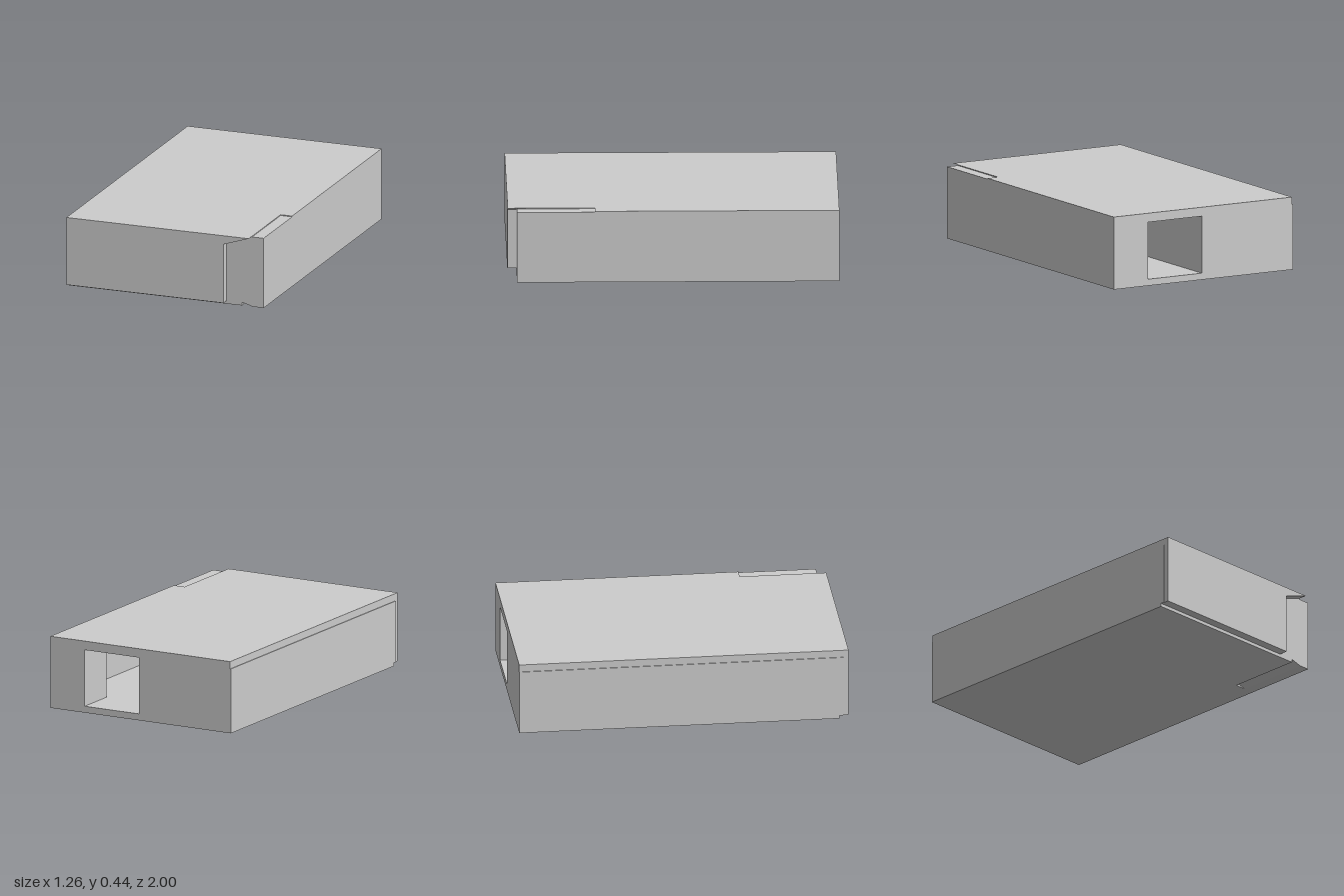
import * as THREE from 'three';

const material = new THREE.MeshStandardMaterial({ color: 0xcccccc, flatShading: true });

const toPoints = (list) => list.map(([x, y]) => new THREE.Vector2(x, y));
const rect = (x0, x1, y0, y1) => [[x0, y0], [x1, y0], [x1, y1], [x0, y1]];

// Extrude an x-y outline (with an optional opening) from z0 to z1
function section(name, outline, z0, z1, opening) {
  const shape = new THREE.Shape(toPoints(outline));
  if (opening) shape.holes.push(new THREE.Path(toPoints(opening)));
  const geometry = new THREE.ExtrudeGeometry(shape, { depth: z1 - z0, bevelEnabled: false });
  geometry.translate(0, 0, z0);
  const mesh = new THREE.Mesh(geometry, material);
  mesh.name = name;
  return mesh;
}

export function createModel() {
  const group = new THREE.Group();
  group.name = 'box';

  const left = -0.627, right = 0.63, top = 0.445;
  const front = 0.945, stepZ = 0.475, cavityBack = -0.74, cavityFront = 0.93;

  const plain = rect(left, right, 0, top);
  // Shallow ledge along the top edge and a wedge-shaped groove underneath
  const stepped = [
    [left, 0], [0.49, 0], [0.49, 0.02], [0.56, 0], [right, 0],
    [right, 0.44], [0.555, 0.44], [0.555, top], [left, top],
  ];
  const port = rect(0.01, 0.39, 0.04, 0.39);
  const cavity = rect(0.01, 0.62, 0.04, 0.39);

  // Body: port at the back opening into a wider inner cavity
  group.add(
    section('backWall', plain, -1, cavityBack, port),
    section('rearShell', plain, cavityBack, stepZ, cavity),
    section('frontShell', stepped, stepZ, cavityFront, cavity),
    section('frontWall', stepped, cavityFront, front),
  );

  // Raised front panel with a slanted upper corner
  group.add(section('frontPanel', [
    [left, 0.02], [0.39, 0.02], [0.39, 0.39], [0.555, top], [left, top],
  ], front, 1));

  // Thin side plate, leaving a narrow strip below the top edge
  group.add(
    section('sidePlate', rect(-0.632, left, 0, 0.4), -1, front),
    section('sidePlateEnd', rect(-0.632, left, 0.02, 0.4), front, 0.97),
  );

  return group;
}
